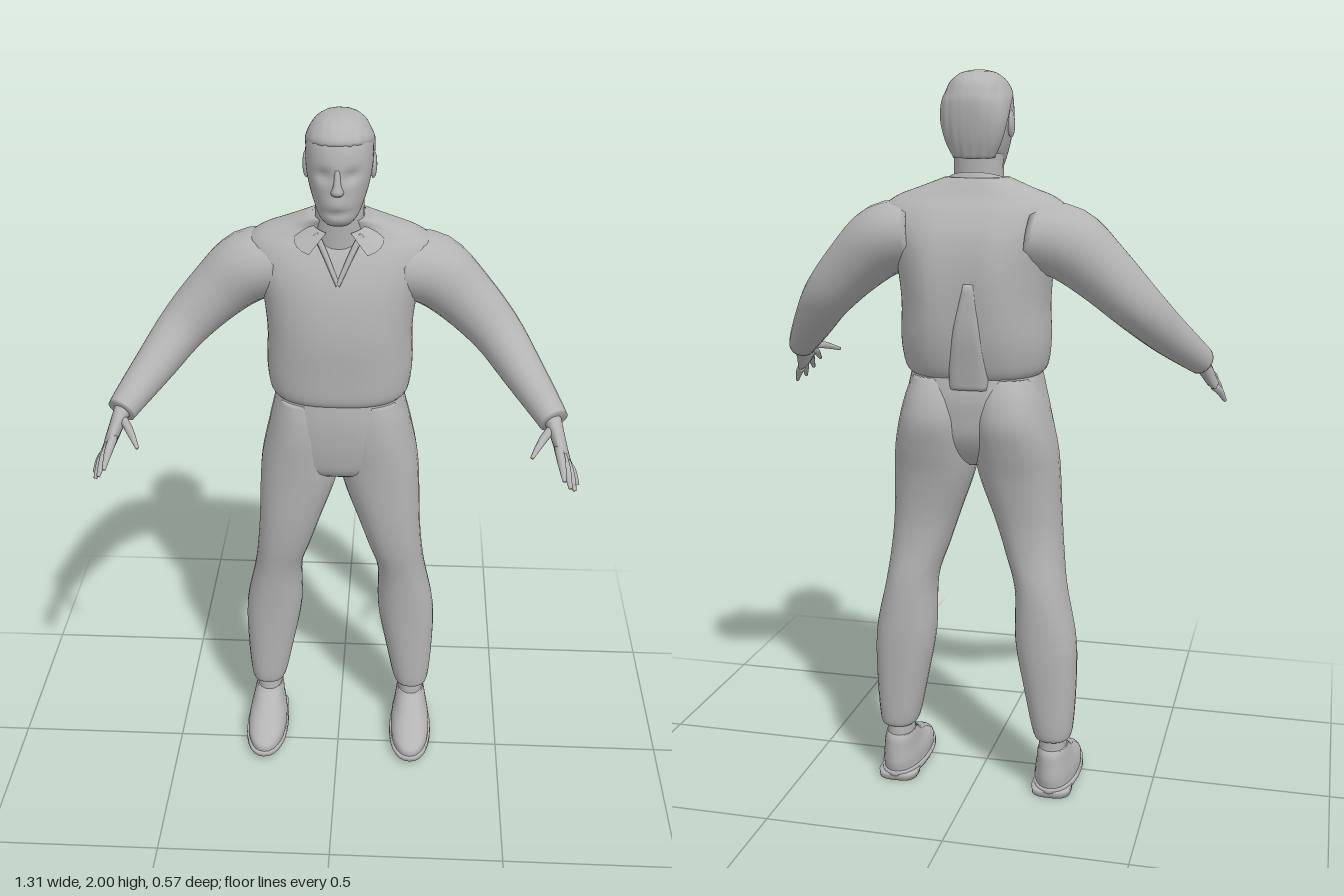
import * as THREE from 'three';

const grey = new THREE.MeshStandardMaterial({ color: 0xb4b4b4, side: THREE.DoubleSide });
grey.name = 'plainGrey';

// Catmull-Rom refinement of a table of section rows
function refine(rows, k) {
  const out = [];
  const at = i => rows[Math.max(0, Math.min(rows.length - 1, i))];
  for (let i = 0; i < rows.length - 1; i++) {
    for (let s = 0; s < k; s++) {
      const t = s / k;
      out.push(rows[i].map((p1, c) => {
        const p0 = at(i - 1)[c], p2 = at(i + 1)[c], p3 = at(i + 2)[c];
        return p1 + 0.5 * t * (p2 - p0 + t * (2 * p0 - 5 * p1 + 4 * p2 - p3 + t * (3 * (p1 - p2) + p3 - p0)));
      }));
    }
  }
  out.push(rows[rows.length - 1]);
  return out;
}

// Skin a list of rings, closing both ends
function skin(rings) {
  const n = rings[0].length, m = rings.length, pos = [], idx = [];
  rings.forEach(r => r.forEach(p => pos.push(p.x, p.y, p.z)));
  for (let i = 0; i < m - 1; i++) {
    for (let j = 0; j < n; j++) {
      const a = i * n + j, b = i * n + (j + 1) % n;
      idx.push(a, a + n, b, b, a + n, b + n);
    }
  }
  [0, m - 1].forEach(e => {
    const c = new THREE.Vector3();
    rings[e].forEach(p => c.addScaledVector(p, 1 / n));
    const k = pos.length / 3;
    pos.push(c.x, c.y, c.z);
    for (let j = 0; j < n; j++) {
      const a = e * n + j, b = e * n + (j + 1) % n;
      if (e) idx.push(k, b, a); else idx.push(k, a, b);
    }
  });
  const g = new THREE.BufferGeometry();
  g.setAttribute('position', new THREE.Float32BufferAttribute(pos, 3));
  g.setIndex(idx);
  g.computeVertexNormals();
  return g;
}

const spow = (v, e) => Math.sign(v) * Math.abs(v) ** e;

// Upright body part: rows of [y, xMin, xMax, zFront, zBack], bottom to top
function upright(rows, { n = 28, power = 2.2, k = 4, shape } = {}) {
  return skin(refine(rows, k).map(([y, x0, x1, zf, zb]) =>
    Array.from({ length: n }, (_, j) => {
      const a = j / n * Math.PI * 2;
      const p = new THREE.Vector3(
        (x0 + x1) / 2 + (x1 - x0) / 2 * spow(Math.cos(a), 2 / power), y,
        (zf + zb) / 2 + (zf - zb) / 2 * spow(Math.sin(a), 2 / power));
      if (shape) shape(p, Math.sin(a));
      return p;
    })));
}
const centred = rows => rows.map(([y, w, zf, zb]) => [y, -w, w, zf, zb]);

// Limb along a path: rows of [x, y, z, thickness radius, breadth radius]
function limb(rows, n = 16, k = 4) {
  const r = refine(rows, k), P = r.map(q => new THREE.Vector3(q[0], q[1], q[2]));
  return skin(r.map((q, i) => {
    const t = P[Math.min(i + 1, P.length - 1)].clone().sub(P[Math.max(i - 1, 0)]).normalize();
    const v = new THREE.Vector3(0, 0, 1).addScaledVector(t, -t.z).normalize();
    const u = t.clone().cross(v);
    return Array.from({ length: n }, (_, j) => {
      const a = j / n * Math.PI * 2;
      return P[i].clone().addScaledVector(u, q[3] * Math.cos(a)).addScaledVector(v, q[4] * Math.sin(a));
    });
  }));
}

function mirrored(geo) {
  const g = geo.clone().scale(-1, 1, 1), ix = g.index;
  for (let i = 0; i < ix.count; i += 3) {
    const b = ix.getX(i + 1);
    ix.setX(i + 1, ix.getX(i + 2));
    ix.setX(i + 2, b);
  }
  g.computeVertexNormals();
  return g;
}

export function createModel() {
  const root = new THREE.Group();
  root.name = 'standingMan';
  const add = (name, geo) => {
    const m = new THREE.Mesh(geo, grey);
    m.name = name;
    root.add(m);
  };
  const pair = (name, geo) => { add(name + 'Left', geo); add(name + 'Right', mirrored(geo)); };
  const bump = (d, w) => Math.exp(-(d * d) / (w * w));

  // Shirt body with two soft folds down the back
  add('shirtBody', upright(centred([
    [1.2, 0.17, 0.015, -0.235], [1.225, 0.193, 0.03, -0.25], [1.3, 0.203, 0.035, -0.268],
    [1.4, 0.2, 0.04, -0.276], [1.5, 0.212, 0.03, -0.276], [1.58, 0.238, 0.008, -0.262],
    [1.64, 0.25, -0.022, -0.232], [1.675, 0.215, -0.045, -0.205], [1.7, 0.15, -0.05, -0.19],
    [1.725, 0.085, -0.035, -0.175]]), {
    n: 48, power: 2.5,
    shape: (p, s) => {
      if (s < 0) p.z -= 0.014 * bump(p.y - 1.45, 0.17) * (bump(p.x + 0.075, 0.04) + bump(p.x - 0.1, 0.05));
    } }));
  add('shirtTail', upright([
    [1.175, -0.06, 0.045, -0.2, -0.25], [1.24, -0.062, 0.045, -0.2, -0.264],
    [1.34, -0.055, 0.03, -0.2, -0.283], [1.46, -0.04, 0.0, -0.2, -0.284]], { power: 3.5 }));

  // Sleeves
  pair('sleeve', limb([
    [0.16, 1.575, -0.135, 0.09, 0.115], [0.25, 1.557, -0.135, 0.098, 0.108],
    [0.34, 1.485, -0.125, 0.084, 0.088], [0.43, 1.395, -0.095, 0.07, 0.075],
    [0.5, 1.315, -0.02, 0.058, 0.062], [0.56, 1.25, 0.06, 0.046, 0.05],
    [0.585, 1.222, 0.098, 0.04, 0.044]], 20));

  // Hands
  pair('palm', limb([
    [0.576, 1.235, 0.08, 0.026, 0.03], [0.592, 1.2, 0.125, 0.02, 0.036],
    [0.606, 1.165, 0.175, 0.016, 0.043], [0.612, 1.155, 0.195, 0.01, 0.038]]));
  [['indexFinger', [0.592, 1.188, 0.185], [0.603, 1.145, 0.285]],
    ['middleFinger', [0.603, 1.172, 0.19], [0.622, 1.118, 0.275]],
    ['ringFinger', [0.614, 1.152, 0.183], [0.637, 1.096, 0.248]],
    ['littleFinger', [0.62, 1.135, 0.168], [0.649, 1.088, 0.203]],
    ['thumb', [0.58, 1.212, 0.115], [0.52, 1.185, 0.235]]].forEach(([name, a, b]) => {
    const mid = a.map((v, i) => (v + b[i]) / 2);
    mid[1] += 0.007;
    pair(name, limb([[...a, 0.012, 0.012], [...mid, 0.011, 0.011], [...b, 0.005, 0.005]], 8, 3));
  });

  // Trousers
  add('trouserSeat', upright(centred([
    [0.95, 0.1, -0.04, -0.16], [0.98, 0.17, 0.0, -0.2], [1.04, 0.205, 0.016, -0.235],
    [1.1, 0.203, 0.023, -0.245], [1.16, 0.19, 0.025, -0.247], [1.235, 0.173, 0.018, -0.232]]), { n: 36, power: 2.4 }));
  pair('trouserLeg', upright([
    [0.165, 0.185, 0.268, -0.078, -0.185], [0.18, 0.171, 0.28, -0.063, -0.2],
    [0.3, 0.145, 0.289, -0.058, -0.208], [0.45, 0.118, 0.288, -0.05, -0.216],
    [0.6, 0.115, 0.258, -0.033, -0.216], [0.7, 0.085, 0.245, -0.013, -0.205],
    [0.8, 0.052, 0.237, 0.0, -0.205], [0.92, 0.01, 0.232, 0.008, -0.225],
    [1.0, 0.0, 0.225, 0.014, -0.248], [1.08, 0.0, 0.208, 0.02, -0.267],
    [1.15, 0.01, 0.19, 0.018, -0.255], [1.2, 0.03, 0.17, 0.01, -0.23]], { power: 2.3 }));

  // Ankles and shoes
  pair('ankle', upright([
    [0.07, 0.187, 0.262, -0.07, -0.185], [0.19, 0.187, 0.264, -0.078, -0.182]]));
  pair('shoeUpper', upright([
    [0.015, 0.168, 0.286, 0.1, -0.194], [0.045, 0.167, 0.287, 0.1, -0.2],
    [0.065, 0.17, 0.284, 0.065, -0.2], [0.09, 0.177, 0.277, 0.0, -0.198],
    [0.12, 0.182, 0.27, -0.05, -0.195], [0.135, 0.186, 0.266, -0.068, -0.188]]));
  pair('shoeSole', upright([
    [0.008, 0.166, 0.288, 0.098, -0.196], [0.016, 0.162, 0.293, 0.112, -0.202],
    [0.028, 0.163, 0.292, 0.11, -0.202]], { k: 1 }));
  pair('shoeHeel', upright([
    [0, 0.172, 0.282, -0.09, -0.198], [0.02, 0.17, 0.284, -0.09, -0.2]], { k: 1, power: 3 }));

  // Neck and head with eye sockets and brow
  add('neck', upright(centred([
    [1.6, 0.075, -0.03, -0.16], [1.7, 0.067, -0.025, -0.158], [1.8, 0.064, -0.015, -0.165]])));
  add('head', upright(centred([
    [1.732, 0.03, 0.022, -0.03], [1.748, 0.05, 0.036, -0.1], [1.78, 0.066, 0.042, -0.165],
    [1.82, 0.078, 0.043, -0.183], [1.86, 0.086, 0.043, -0.195], [1.9, 0.088, 0.04, -0.2],
    [1.94, 0.084, 0.03, -0.197], [1.97, 0.068, 0.01, -0.182], [1.988, 0.045, -0.02, -0.15],
    [1.996, 0.012, -0.06, -0.1]]), {
    n: 56,
    shape: (p, s) => {
      if (s <= 0) return;
      p.z -= 0.013 * bump(p.y - 1.868, 0.016) * bump(Math.abs(p.x) - 0.036, 0.02);
      p.z -= 0.006 * bump(p.y - 1.77, 0.008) * bump(p.x, 0.04);
      p.z += 0.005 * bump(p.y - 1.795, 0.014) * bump(p.x, 0.025);
    } }));
  add('nose', upright(centred([
    [1.818, 0.012, 0.046, 0.02], [1.828, 0.017, 0.061, 0.02], [1.85, 0.01, 0.055, 0.02],
    [1.885, 0.008, 0.043, 0.02]]), { n: 12 }));
  pair('ear', new THREE.SphereGeometry(1, 14, 10).scale(0.01, 0.036, 0.02).rotateX(-0.15).translate(0.087, 1.862, -0.09));
  // Hair cap, lightly combed
  add('hair', upright(centred([
    [1.775, 0.055, -0.11, -0.175], [1.82, 0.076, -0.105, -0.192], [1.87, 0.0885, -0.085, -0.203],
    [1.915, 0.091, -0.03, -0.207], [1.942, 0.0865, 0.028, -0.202], [1.972, 0.07, 0.013, -0.187],
    [1.992, 0.045, -0.02, -0.152], [2.0, 0.012, -0.06, -0.1]]), {
    n: 56, shape: p => { p.z += 0.0015 * Math.sin(p.x * 260); } }));

  // Folded collar, open at the throat
  const collar = [], cIdx = [], steps = 32;
  for (let i = 0; i <= steps; i++) {
    const a = 0.42 + (Math.PI * 2 - 0.84) * i / steps;
    const f = (1 + Math.cos(a)) / 2, tip = f ** 4;
    const sx = Math.sin(a), cz = Math.cos(a);
    collar.push(0.078 * sx, 1.74 - 0.045 * f, -0.092 + 0.075 * cz);
    collar.push((0.105 + 0.1 * tip) * sx, 1.7 - 0.02 * f - 0.045 * tip, -0.092 + (0.088 + 0.012 * f) * cz);
    if (i < steps) cIdx.push(2 * i, 2 * i + 1, 2 * i + 2, 2 * i + 2, 2 * i + 1, 2 * i + 3);
  }
  const cg = new THREE.BufferGeometry();
  cg.setAttribute('position', new THREE.Float32BufferAttribute(collar, 3));
  cg.setIndex(cIdx);
  cg.computeVertexNormals();
  add('collar', cg);

  // Edges of the open neckline
  pair('necklineEdge', limb([
    [0.06, 1.69, -0.035, 0.009, 0.009], [0.032, 1.635, -0.012, 0.008, 0.008],
    [0.0, 1.565, 0.015, 0.006, 0.006]], 8));
  return root;
}
